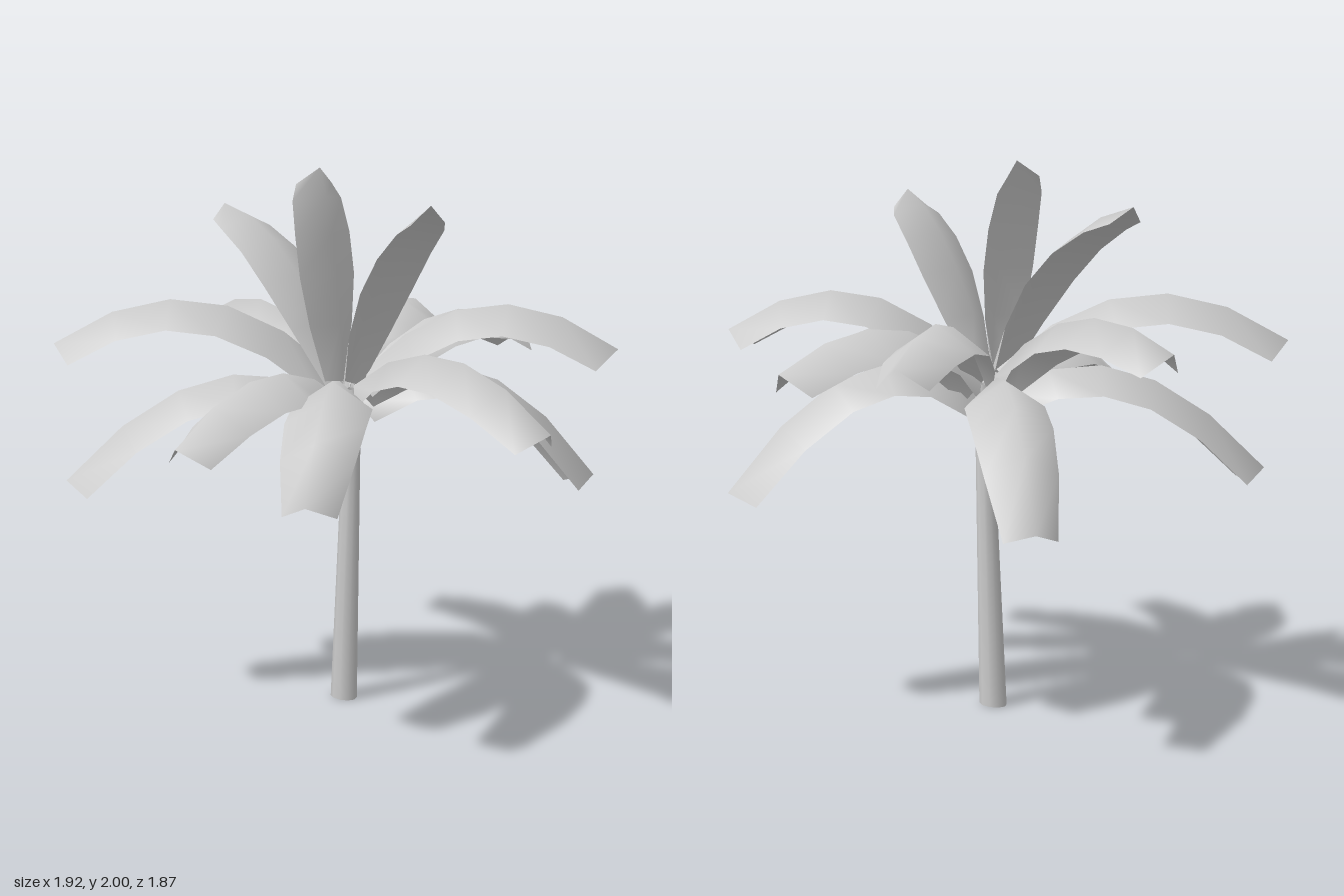
import * as THREE from 'three';

const material = new THREE.MeshStandardMaterial({ color: 0xcccccc, side: THREE.DoubleSide });

// Half width of a frond at each cross-section, base to tip
const HALF_WIDTHS = [0.045, 0.11, 0.14, 0.14, 0.125, 0.09];

// Ridged leaf following an arc through three points; its edges hang below the ridge by droop
function frondGeometry(start, mid, tip, droop, setback) {
  const control = mid.clone().multiplyScalar(2).addScaledVector(start, -0.5).addScaledVector(tip, -0.5);
  const ridge = new THREE.QuadraticBezierCurve3(start, control, tip);
  const outward = new THREE.Vector3(tip.x - start.x, 0, tip.z - start.z);
  const side = outward.cross(new THREE.Vector3(0, 1, 0)).normalize();
  const positions = [], indices = [];
  const rows = HALF_WIDTHS.length;
  HALF_WIDTHS.forEach((w, i) => {
    const t = i / (rows - 1);
    const p = ridge.getPoint(t);
    const tangent = ridge.getTangent(t);
    const normal = new THREE.Vector3().crossVectors(side, tangent);
    for (const s of [-1, 0, 1]) {
      const v = p.clone().addScaledVector(side, s * w);
      if (s) v.addScaledVector(normal, -droop);
      // the outer corners of the last row sit back to form a point
      if (s && i === rows - 1) v.addScaledVector(tangent, -setback);
      positions.push(v.x, v.y, v.z);
    }
    if (i === rows - 1) return;
    for (let c = 0; c < 2; c++) {
      const a = i * 3 + c, b = a + 1, d = a + 3, e = a + 4;
      indices.push(a, b, e, a, e, d);
    }
  });
  const g = new THREE.BufferGeometry();
  g.setAttribute('position', new THREE.Float32BufferAttribute(positions, 3));
  g.setIndex(indices);
  g.computeVertexNormals();
  return g;
}

export function createModel() {
  const palm = new THREE.Group();
  palm.name = 'palmTree';

  // Tapered trunk, leaning slightly forward
  const trunkGeometry = new THREE.CylinderGeometry(0.025, 0.042, 1.2, 10, 1, true);
  trunkGeometry.translate(0, 0.6, 0);
  const pos = trunkGeometry.attributes.position;
  for (let i = 0; i < pos.count; i++) {
    pos.setXYZ(i, pos.getX(i) + 0.008, pos.getY(i), pos.getZ(i) * 1.34 - 0.092 + 0.05 * pos.getY(i) / 1.2);
  }
  const trunk = new THREE.Mesh(trunkGeometry, material);
  trunk.name = 'trunk';
  palm.add(trunk);

  const crown = new THREE.Group();
  crown.name = 'crown';
  palm.add(crown);
  const addFrond = (name, ...shape) => {
    const frond = new THREE.Mesh(frondGeometry(...shape), material);
    frond.name = name;
    crown.add(frond);
  };

  // Arching fronds: tip x, tip z, base height, middle height, tip height
  const arching = [
    [-0.963, 0.085, 1.17, 1.32, 1.145],
    [-0.79, 0.5, 1.17, 1.29, 0.99],
    [-0.09, 0.93, 1.22, 1.38, 1.18],
    [0.49, 0.785, 1.25, 1.525, 1.38],
    [0.755, 0.51, 1.16, 1.26, 0.84],
    [0.96, 0.015, 1.22, 1.44, 1.33],
    [0.84, -0.385, 1.22, 1.465, 1.37],
    [0.595, -0.755, 1.16, 1.24, 0.85],
    [0.11, -0.935, 1.22, 1.47, 1.39],
    [-0.7, -0.885, 1.25, 1.525, 1.36],
    [-0.752, -0.77, 1.16, 1.24, 0.87],
  ];
  const centre = new THREE.Vector3(-0.02, 0, -0.04);
  arching.forEach(([x, z, y0, y1, y2], i) => {
    const tip = new THREE.Vector3(x, y2, z);
    const start = centre.clone().lerp(tip, 0.03).setY(y0);
    const mid = centre.clone().lerp(tip, 0.5).setY(y1);
    addFrond(`archingFrond${i + 1}`, start, mid, tip, 0.095, 0.02);
  });

  // Upright fronds in the middle: middle z, y and tip z, y
  [[0.18, 1.68, 0.38, 1.89], [-0.07, 1.7, -0.145, 2.0], [-0.32, 1.675, -0.65, 1.85]].forEach(([mz, my, tz, ty], i) => {
    const at = (y, z) => new THREE.Vector3(-0.055, y, z);
    addFrond(`uprightFrond${i + 1}`, at(1.24, -0.03), at(my, mz), at(ty, tz), 0.05, 0.04);
  });

  return palm;
}
